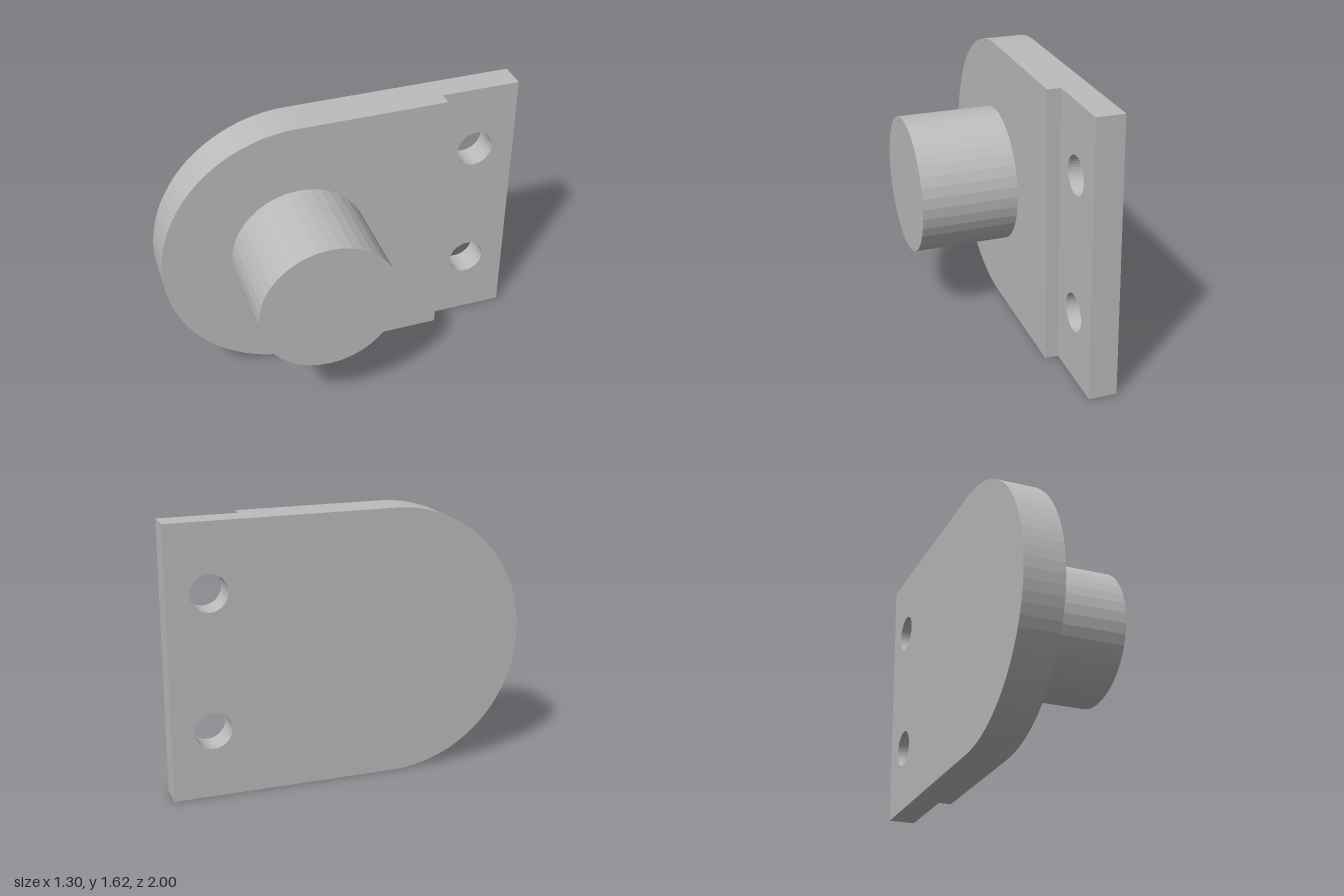
import * as THREE from 'three';

const HEIGHT = 1.62, R = HEIGHT / 2;       // plate height and rounded-end radius
const BODY_END = 1.69, LENGTH = 2.16;      // step position and total length
const BODY_T = 0.24, FLANGE_T = 0.162;     // thickness of body and thinner flange
const BOSS_R = 0.405, BOSS_L = 0.567, HOLE_R = 0.11;

export function createModel() {
  const metal = new THREE.MeshStandardMaterial({ color: 0xbcbcbc, flatShading: true });
  metal.name = 'light grey metal';

  const bracket = new THREE.Group();
  bracket.name = 'bracket';
  const add = (name, geometry) => {
    const mesh = new THREE.Mesh(geometry, metal);
    mesh.name = name;
    bracket.add(mesh);
    return mesh;
  };
  const extrude = (shape, depth) =>
    new THREE.ExtrudeGeometry(shape, { depth, bevelEnabled: false, curveSegments: 20 });

  // Thick body with one fully rounded end
  const body = new THREE.Shape();
  body.moveTo(R, 0);
  body.lineTo(BODY_END, 0);
  body.lineTo(BODY_END, HEIGHT);
  body.lineTo(R, HEIGHT);
  body.absarc(R, R, R, Math.PI / 2, Math.PI * 1.5, false);
  add('plateBody', extrude(body, BODY_T));

  // Thinner mounting flange, flush at the back, with two through holes
  const flange = new THREE.Shape();
  flange.moveTo(BODY_END, 0);
  flange.lineTo(LENGTH, 0);
  flange.lineTo(LENGTH, HEIGHT);
  flange.lineTo(BODY_END, HEIGHT);
  flange.closePath();
  for (const y of [HEIGHT * 0.25, HEIGHT * 0.75]) {
    const hole = new THREE.Path();
    hole.absarc(1.915, y, HOLE_R, 0, Math.PI * 2, true);
    flange.holes.push(hole);
  }
  add('mountingFlange', extrude(flange, FLANGE_T));

  // Round boss, concentric with the rounded end
  const boss = add('boss', new THREE.CylinderGeometry(BOSS_R, BOSS_R, BOSS_L, 40).rotateX(Math.PI / 2));
  boss.position.set(R, R, BODY_T + BOSS_L / 2);

  // Turn the plate to its diagonal stance and centre it
  bracket.rotation.y = THREE.MathUtils.degToRad(60.4);
  bracket.position.set(-0.653, 0, 0.88);

  const model = new THREE.Group();
  model.name = 'model';
  model.add(bracket);
  return model;
}
